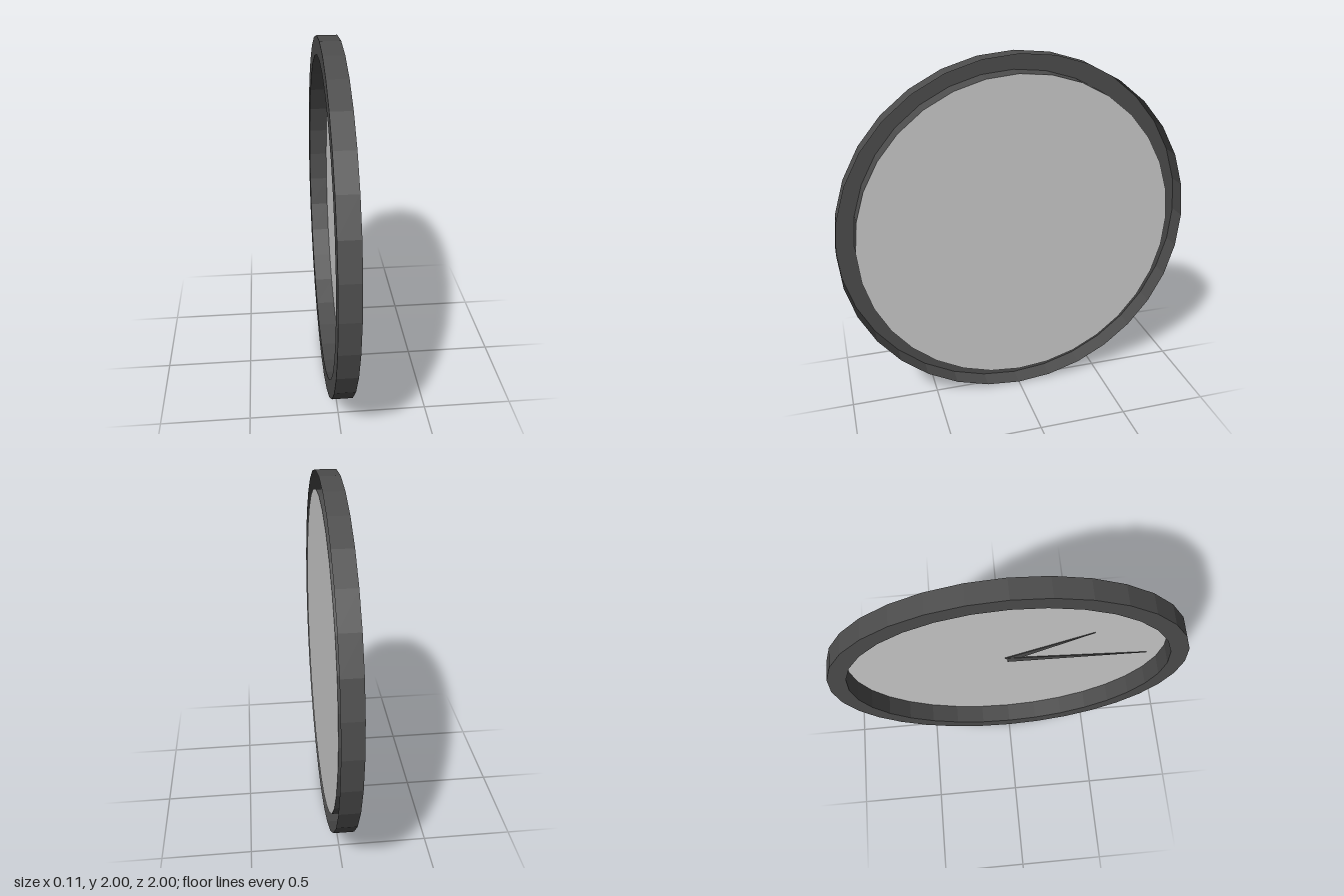
import * as THREE from 'three';

export function createModel() {
  const frameGrey = new THREE.MeshStandardMaterial({ color: 0x4d4d4d, flatShading: true, side: THREE.DoubleSide });
  frameGrey.name = 'dark grey';
  const faceGrey = new THREE.MeshStandardMaterial({ color: 0xcccccc, flatShading: true, side: THREE.DoubleSide });
  faceGrey.name = 'light grey';

  const SIDES = 32, OUTER = 1, INNER = 0.9, HALF = 0.055;
  const clock = new THREE.Group();
  clock.name = 'wallClock';
  const add = (name, geometry, material) => {
    const mesh = new THREE.Mesh(geometry, material);
    mesh.name = name;
    mesh.position.y = 1;
    clock.add(mesh);
    return mesh;
  };

  // Frame: a channel-shaped ring, open at the back (+x)
  const profile = [[INNER, HALF], [INNER, -HALF], [OUTER, -HALF], [OUTER, HALF]]
    .map(([r, h]) => new THREE.Vector2(r, h));
  add('frame', new THREE.LatheGeometry(profile, SIDES).rotateZ(-Math.PI / 2), frameGrey);

  // Dial: a flat disc closing the back of the inner opening
  const dial = new THREE.CircleGeometry(INNER, SIDES).rotateY(Math.PI / 2);
  add('dial', dial.translate(HALF, 0, 0), faceGrey);

  // Hands: thin tapered plates on the -x side of the dial
  const addHand = (name, tipZ, tipY, halfWidth, x) => {
    const length = Math.hypot(tipZ, tipY);
    const pz = (-tipY / length) * halfWidth, py = (tipZ / length) * halfWidth;
    const shape = new THREE.Shape([
      new THREE.Vector2(-pz, -py), new THREE.Vector2(tipZ, tipY), new THREE.Vector2(pz, py),
    ]);
    const plate = new THREE.ExtrudeGeometry(shape, { depth: 0.005, bevelEnabled: false });
    add(name, plate.rotateY(-Math.PI / 2).translate(x, 0, 0), frameGrey);
  };
  addHand('hourHand', 0.47, 0.29, 0.028, HALF - 0.004);
  addHand('minuteHand', 0.81, -0.07, 0.028, HALF - 0.006);

  return clock;
}
